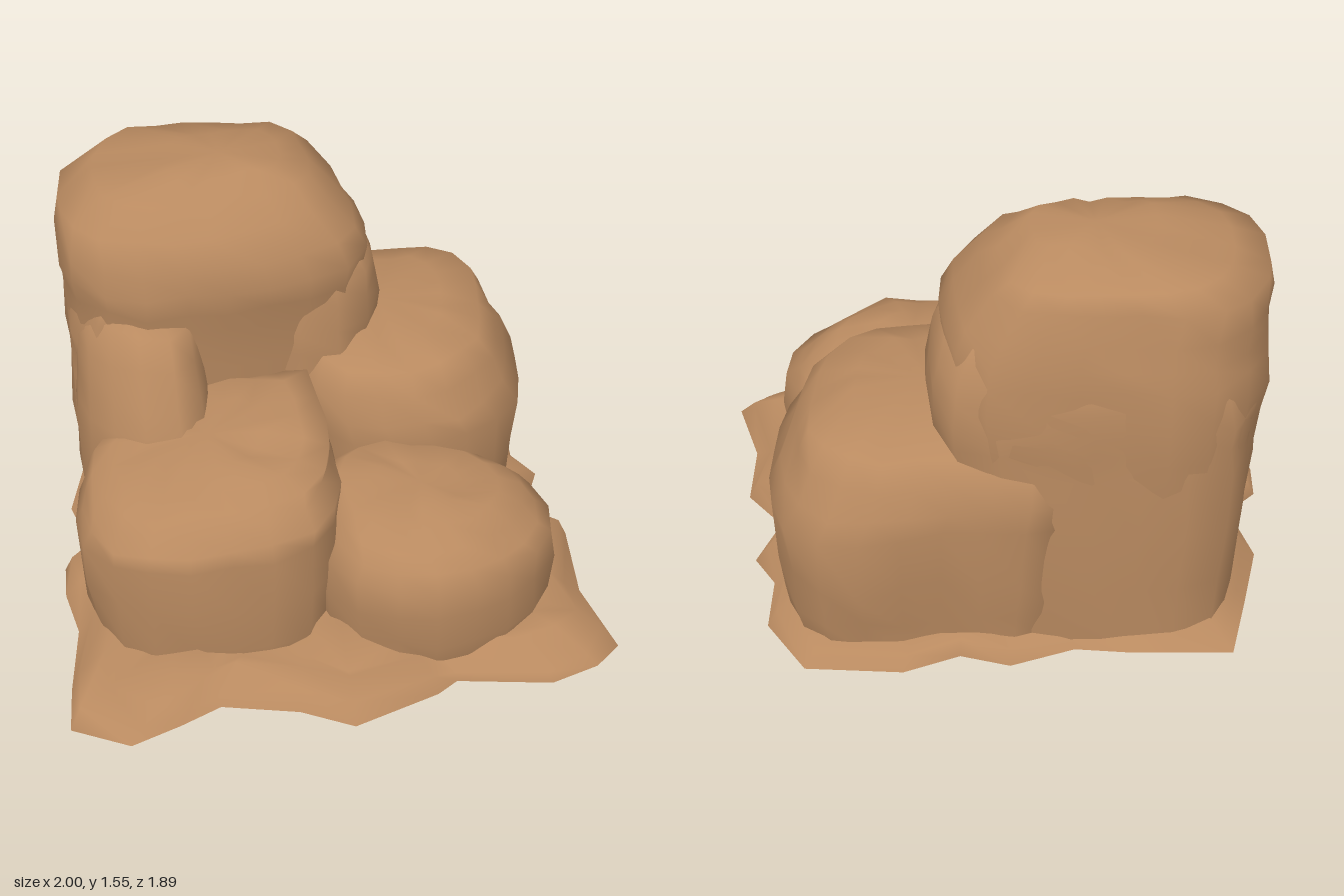
import * as THREE from 'three';

const stone = new THREE.MeshStandardMaterial({ color: 0xb98a60 });
stone.name = 'sandstone';

// Small repeatable roughness in -1..1
const rough = (i, j, seed) => {
  const s = Math.sin(i * 12.99 + j * 78.23 + seed * 37.72) * 43758.5453;
  return 2 * (s - Math.floor(s)) - 1;
};

// Plan outline [x, z], always clockwise from above, optionally resampled
function plan(points, count) {
  const v = points.map(([x, z]) => new THREE.Vector2(x, z));
  if (THREE.ShapeUtils.area(v) < 0) v.reverse();
  if (!count) return v;
  const curve = new THREE.CatmullRomCurve3(v.map(p => new THREE.Vector3(p.x, 0, p.y)), true, 'centripetal');
  return curve.getSpacedPoints(count).slice(0, count).map(p => new THREE.Vector2(p.x, p.z));
}

// Skin stacked rings and close the top with a fan
function skin(rings, apex) {
  const n = rings[0].length, idx = [];
  const pos = [...rings.flat(), apex].flat();
  rings.forEach((ring, j) => {
    for (let i = 0; i < n; i++) {
      const a = j * n + i, b = j * n + (i + 1) % n;
      if (j < rings.length - 1) idx.push(a, a + n, b + n, a, b + n, b);
      else idx.push(a, rings.length * n, b);
    }
  });
  const g = new THREE.BufferGeometry();
  g.setAttribute('position', new THREE.Float32BufferAttribute(pos, 3));
  g.setIndex(idx);
  g.computeVertexNormals();
  return g;
}

function add(group, name, geometry) {
  const mesh = new THREE.Mesh(geometry, stone);
  mesh.name = name;
  group.add(mesh);
}

// Boulder: levels are [y, scale, shiftX, shiftZ]; tilt leans the upper rings
function boulder({ outline, levels, seed, count = 20, bump = 0.025, tilt = [0, 0] }) {
  const pts = plan(outline, count);
  const c = new THREE.Box2().setFromPoints(pts).getCenter(new THREE.Vector2());
  const [top, , topX = 0, topZ = 0] = levels[levels.length - 1];
  const rings = levels.map(([y, s, dx = 0, dz = 0], j) => pts.map((p, i) => {
    const k = s * (1 + bump * rough(i >> 1, j >> 1, seed) + bump * rough(i, j, seed + 5));
    const x = (p.x - c.x) * k, z = (p.y - c.y) * k;
    const lean = Math.pow(y / top, 3) * (x * tilt[0] + z * tilt[1]);
    return [c.x + dx + x, y + lean + 0.016 * rough(i, j, seed + 9), c.y + dz + z];
  }));
  return skin(rings, [c.x + topX, top + 0.012, c.y + topZ]);
}

const boulders = {
  topBoulder: {
    seed: 1, count: 22, bump: 0.018,
    outline: [[-0.64, -0.86], [-0.4, -0.87], [0, -0.84], [0.16, -0.78], [0.23, -0.5], [0.18, -0.2],
      [-0.05, -0.11], [-0.4, -0.06], [-0.64, -0.07], [-0.82, -0.18], [-0.87, -0.4], [-0.82, -0.7]],
    levels: [[0.6, 0.9, 0, -0.03], [0.85, 0.96, 0, -0.03], [1.02, 0.99, 0, -0.02], [1.13, 1], [1.21, 1],
      [1.3, 0.96, -0.02], [1.41, 0.87, -0.06, -0.01], [1.48, 0.7, -0.03, -0.05], [1.535, 0.38, 0.04, 0]],
  },
  backColumn: {
    seed: 11, count: 22, bump: 0.018,
    outline: [[-0.72, -0.86], [-0.4, -0.89], [0, -0.86], [0.22, -0.8], [0.28, -0.5], [0.24, -0.2], [0.05, -0.1],
      [-0.15, -0.17], [-0.4, -0.14], [-0.64, -0.08], [-0.82, -0.15], [-0.87, -0.4], [-0.82, -0.68]],
    levels: [[0.05, 0.9], [0.3, 0.94], [0.55, 0.97], [0.78, 0.97], [0.88, 0.98], [0.96, 0.99],
      [1.06, 0.96, 0.01], [1.13, 0.92, 0.02], [1.24, 0.82, 0.02]],
  },
  sideBoulder: {
    seed: 2, count: 24,
    outline: [[-0.16, -0.86], [0.25, -0.89], [0.7, -0.88], [0.83, -0.68], [0.84, -0.4], [0.79, -0.15],
      [0.6, 0.04], [0.35, 0.1], [0.1, 0.04], [-0.02, -0.15], [-0.14, -0.55]],
    levels: [[0.05, 0.88], [0.18, 0.92], [0.35, 0.98], [0.58, 1], [0.66, 0.95, -0.03], [0.77, 0.9, -0.05],
      [0.85, 0.79, -0.05], [0.89, 0.5, -0.05]],
  },
  shoulderLedge: {
    seed: 3, count: 14,
    outline: [[-0.8, -0.4], [-0.42, -0.4], [-0.39, 0], [-0.48, 0.17], [-0.7, 0.11], [-0.84, -0.08]],
    levels: [[0.4, 1], [0.66, 1], [0.74, 0.99, 0, -0.02], [0.84, 0.96, 0, -0.05], [0.97, 0.92, 0, -0.1],
      [1.07, 0.84, 0, -0.15], [1.12, 0.5, 0, -0.2]],
  },
  frontBoulder: {
    seed: 4,
    outline: [[-0.8, -0.02], [-0.9, 0.2], [-0.86, 0.44], [-0.72, 0.58], [-0.4, 0.62], [-0.1, 0.59],
      [0.01, 0.43], [0.05, 0.2], [0, -0.1], [-0.4, -0.2]],
    levels: [[0.05, 0.88], [0.15, 0.94], [0.35, 0.98], [0.55, 1], [0.62, 0.97], [0.67, 0.91, 0, -0.04],
      [0.73, 0.88, 0.01, -0.05], [0.76, 0.7, 0, -0.05], [0.77, 0.4, 0, -0.05]],
    tilt: [0.17, -0.07],
  },
  smallBoulder: {
    seed: 6, count: 18,
    outline: [[-0.06, 0.2], [-0.06, 0.48], [0.04, 0.64], [0.3, 0.72], [0.56, 0.67], [0.74, 0.53],
      [0.81, 0.34], [0.74, 0.14], [0.5, 0.05], [0.1, 0.03]],
    levels: [[0.05, 0.9], [0.16, 0.97], [0.3, 1], [0.42, 0.99], [0.475, 0.91, -0.01, -0.01],
      [0.54, 0.83, -0.03, -0.03], [0.58, 0.65, -0.05, -0.04], [0.59, 0.35, -0.05, -0.04]],
    tilt: [-0.08, -0.06],
  },
};

// Ragged ground slab
const slabOutline = [[-0.95, -0.05], [-0.96, 0.1], [-0.93, 0.3], [-0.98, 0.6], [-1, 0.8], [-0.8, 0.91],
  [-0.62, 0.84], [-0.47, 0.77], [-0.2, 0.84], [-0.02, 0.94], [0.3, 0.81], [0.38, 0.75], [0.72, 0.8],
  [0.9, 0.74], [1, 0.65], [0.93, 0.35], [0.95, 0.05], [0.83, -0.12], [0.92, -0.32], [0.85, -0.45],
  [0.87, -0.68], [0.74, -0.91], [0.4, -0.95], [0.2, -0.88], [0.03, -0.94], [-0.2, -0.87], [-0.4, -0.9],
  [-0.75, -0.92], [-0.83, -0.65], [-0.9, -0.4], [-0.84, -0.15]];

export function createModel() {
  const group = new THREE.Group();
  group.name = 'rockPile';
  for (const [name, spec] of Object.entries(boulders)) add(group, name, boulder(spec));

  // The slab sags to the ground at its front +x corner
  const pts = plan(slabOutline);
  const sag = (x, z) => 0.04 * THREE.MathUtils.smoothstep(x, -0.1, 0.7) * THREE.MathUtils.smoothstep(z, 0, 0.6);
  const ring = (s, y, bump, j) => pts.map((p, i) => {
    const k = s * (1 + bump * rough(i, j, 7));
    return [p.x * k, y - sag(p.x, p.y) + bump * rough(i, j, 8), p.y * k];
  });
  const rim = ring(1, 0.04, 0, 0);
  add(group, 'groundSlab', skin([rim, ring(0.96, 0.085, 0.025, 1), ring(0.87, 0.125, 0.035, 2),
    ring(0.77, 0.14, 0.04, 3), ring(0.64, 0.16, 0.04, 4)], [0, 0.13, 0]));

  // Flat underside, wound to face down
  add(group, 'slabUnderside', skin([[...rim].reverse()], [0, 0.04, 0]));
  return group;
}
